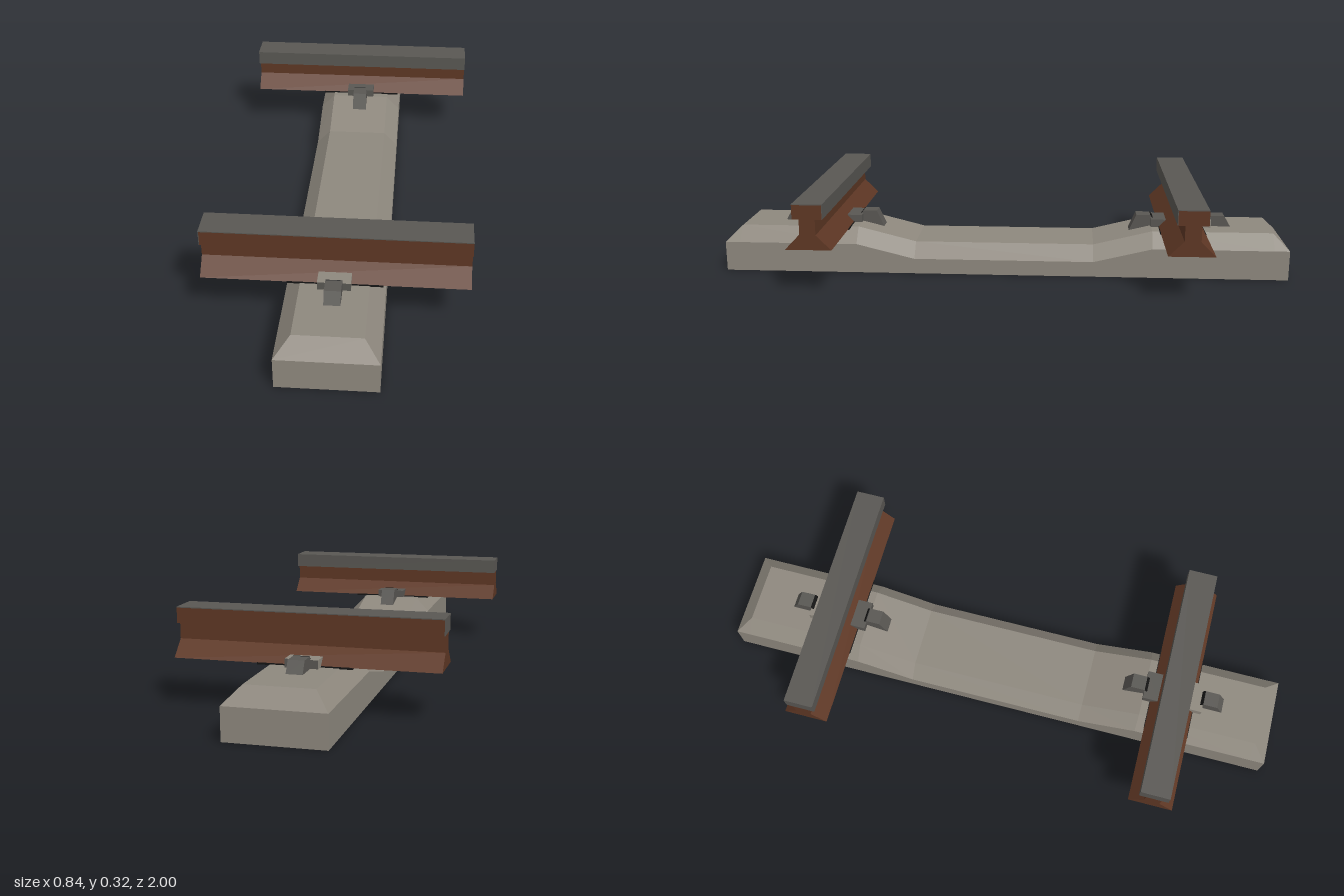
import * as THREE from 'three';

const mat = (name, color, side = THREE.FrontSide) => {
  const m = new THREE.MeshStandardMaterial({ color, side });
  m.name = name;
  return m;
};

// Extrudes a profile of [z, y] points along x, centred on x = 0
function extrudeAlongX(points, length) {
  const shape = new THREE.Shape(points.map(([z, y]) => new THREE.Vector2(-z, y)));
  const geo = new THREE.ExtrudeGeometry(shape, { depth: length, bevelEnabled: false });
  return geo.translate(0, 0, -length / 2).rotateY(Math.PI / 2);
}

// Lofted concrete beam: chamfered top, hipped ends, lowered middle
function sleeperGeometry() {
  const ring = (z, shoulder, top, topHalf = 0.108) =>
    [[0.157, 0], [0.157, shoulder], [topHalf, top], [-topHalf, top], [-0.157, shoulder], [-0.157, 0]]
      .map(([x, y]) => [x, y, z]);
  const half = [[1, 0.105, 0.105, 0.157], [0.947, 0.105, 0.157], [0.525, 0.105, 0.157], [0.318, 0.054, 0.105]];
  const rings = [
    ...half.map(([z, ...r]) => ring(-z, ...r)),
    ...half.reverse().map(([z, ...r]) => ring(z, ...r)),
  ];
  const pos = [];
  const quad = (a, b, c, d) => pos.push(...a, ...b, ...c, ...a, ...c, ...d);
  for (let s = 0; s < rings.length - 1; s++) {
    const a = rings[s], b = rings[s + 1];
    for (let i = 0; i < 6; i++) {
      const j = (i + 1) % 6;
      quad(a[i], a[j], b[j], b[i]);
    }
  }
  const back = rings[0], front = rings[rings.length - 1];
  quad(back[0], back[5], back[4], back[1]);
  quad(front[0], front[1], front[4], front[5]);
  const geo = new THREE.BufferGeometry();
  geo.setAttribute('position', new THREE.Float32BufferAttribute(pos, 3));
  geo.computeVertexNormals();
  return geo;
}

export function createModel() {
  const concrete = mat('concrete', 0x8e887e);
  const rust = mat('rustedSteel', 0x5e3724);
  const steel = mat('wornSteel', 0x595753);
  const black = mat('blackRubber', 0x141414);

  const model = new THREE.Group();
  model.name = 'railwaySleeper';
  const add = (parent, name, geo, material, x = 0, y = 0, z = 0) => {
    const mesh = new THREE.Mesh(geo, material);
    mesh.name = name;
    mesh.position.set(x, y, z);
    parent.add(mesh);
    return mesh;
  };

  add(model, 'sleeper', sleeperGeometry(), concrete);

  const railLength = 0.84;
  const railProfile = [
    [-0.078, 0.16], [0.078, 0.16], [0.027, 0.211], [0.027, 0.264], [0.05, 0.264],
    [0.05, 0.313], [-0.05, 0.313], [-0.05, 0.264], [-0.027, 0.264], [-0.027, 0.211],
  ];

  for (const side of [1, -1]) {
    const track = new THREE.Group();
    track.name = side > 0 ? 'frontRail' : 'backRail';
    track.position.z = 0.63 * side;
    model.add(track);

    add(track, 'rail', extrudeAlongX(railProfile, railLength), rust);
    add(track, 'railPad', new THREE.BoxGeometry(0.3, 0.006, 0.158), black, 0, 0.158, 0);

    // Worn steel on the running surface, inner face and one end of the head
    add(track, 'runningSurface', new THREE.BoxGeometry(railLength, 0.003, 0.1), steel, 0, 0.3145, 0);
    add(track, 'innerHeadFace', new THREE.BoxGeometry(railLength, 0.051, 0.002), steel, 0, 0.2905, -0.051 * side);
    add(track, 'headEnd', new THREE.BoxGeometry(0.002, 0.051, 0.1), steel, -railLength / 2 - 0.0005, 0.2905, 0);

    // Fastenings on the outer and inner sides of each rail
    for (const outer of [true, false]) {
      const dir = outer ? side : -side;
      const fastening = new THREE.Group();
      fastening.name = outer ? 'outerFastening' : 'innerFastening';
      if (dir < 0) fastening.rotation.y = Math.PI;
      track.add(fastening);

      const insulatorMaterials = Array(6).fill(outer ? concrete : steel);
      insulatorMaterials[4] = steel;
      add(fastening, 'insulator', new THREE.BoxGeometry(0.104, 0.027, 0.054), insulatorMaterials, 0, 0.1715, 0.08);

      const end = outer ? [0.18, 0.156] : [0.183, 0.137];
      const clipProfile = [[0.095, 0.15], end, [0.157, 0.195], [0.107, 0.195], [0.096, 0.18]];
      add(fastening, 'clip', extrudeAlongX(clipProfile, 0.052), steel);
      const gapProfile = [[0.094, 0.181], [0.096, 0.18], [0.107, 0.195], [0.105, 0.196]];
      add(fastening, 'clipGap', extrudeAlongX(gapProfile, 0.052), black);
    }
  }
  return model;
}
